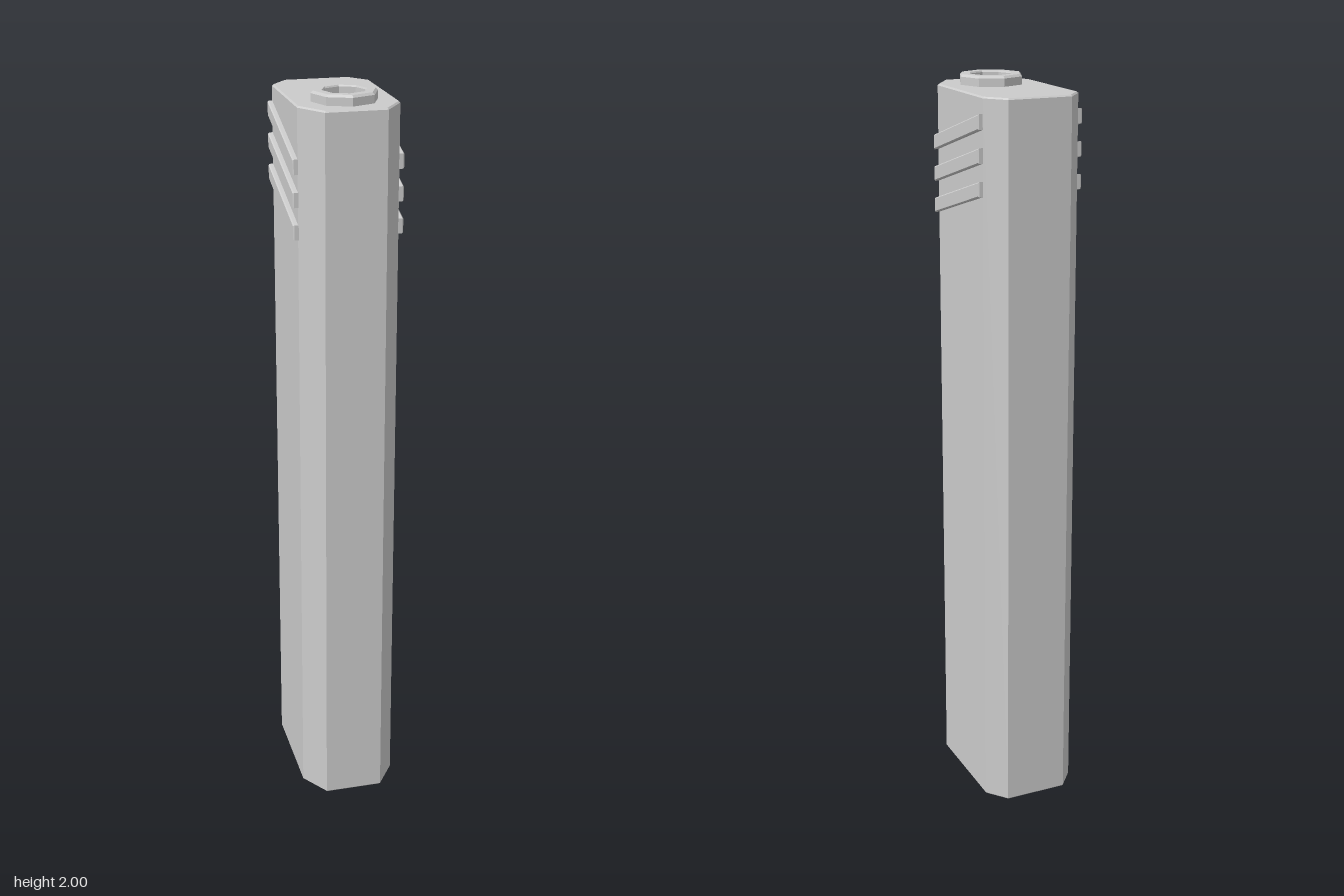
import * as THREE from 'three';

const BORE_Z = 0.088;
const material = new THREE.MeshStandardMaterial({ color: 0xcccccc, flatShading: true });

const polygon = (Type, points) => new Type(points.map(([x, y]) => new THREE.Vector2(x, y)));

// Extrusion with a narrow chamfer that stays inside the outline and total depth
function chamferedExtrude(shape, depth, bevel) {
  return new THREE.ExtrudeGeometry(shape, {
    depth: depth - 2 * bevel, bevelEnabled: true, bevelSegments: 1,
    bevelSize: bevel, bevelThickness: bevel, bevelOffset: -bevel,
  }).translate(0, 0, bevel);
}

function addMesh(group, name, geometry) {
  const mesh = new THREE.Mesh(geometry, material);
  mesh.name = name;
  group.add(mesh);
}

export function createModel() {
  const model = new THREE.Group();
  model.name = 'handle';

  // Tall eight-sided body with a bore running right through (shape y is -z)
  const half = [[0.08, -0.213], [0.132, -0.135], [0.132, 0.16], [0.087, 0.215]];
  const outline = [...half, ...half.map(([x, y]) => [-x, y]).reverse()];
  const section = polygon(THREE.Shape, outline);
  const bore = [];
  for (let i = 0; i < 8; i++) {
    const a = -i * Math.PI / 4;
    bore.push([0.056 * Math.cos(a), 0.056 * Math.sin(a) - BORE_Z]);
  }
  section.holes.push(polygon(THREE.Path, bore));
  addMesh(model, 'body', chamferedExtrude(section, 1.973, 0.004).rotateX(-Math.PI / 2));

  // Octagonal collar around the top of the bore
  const profile = [
    [0.056, 1.965], [0.087, 1.965], [0.087, 1.994], [0.081, 2],
    [0.0585, 2], [0.056, 1.996], [0.056, 1.965],
  ].map(([r, y]) => new THREE.Vector2(r, y));
  addMesh(model, 'collar', new THREE.LatheGeometry(profile, 8).translate(0, 0, BORE_Z));

  // Three slanted grip ribs on each side, rising towards the back
  for (const side of [1, -1]) {
    for (let i = 0; i < 3; i++) {
      const y = 1.802 - i * 0.084;
      const rib = polygon(THREE.Shape, [
        [0.137, y], [-0.159, y + 0.09], [-0.159, y + 0.129], [0.137, y + 0.039],
      ].map(([z, h]) => [-side * z, h]));
      const geometry = chamferedExtrude(rib, 0.025, 0.003)
        .translate(0, 0, 0.12).rotateY(side * Math.PI / 2);
      addMesh(model, `${side > 0 ? 'left' : 'right'}GripRib${i + 1}`, geometry);
    }
  }

  return model;
}
